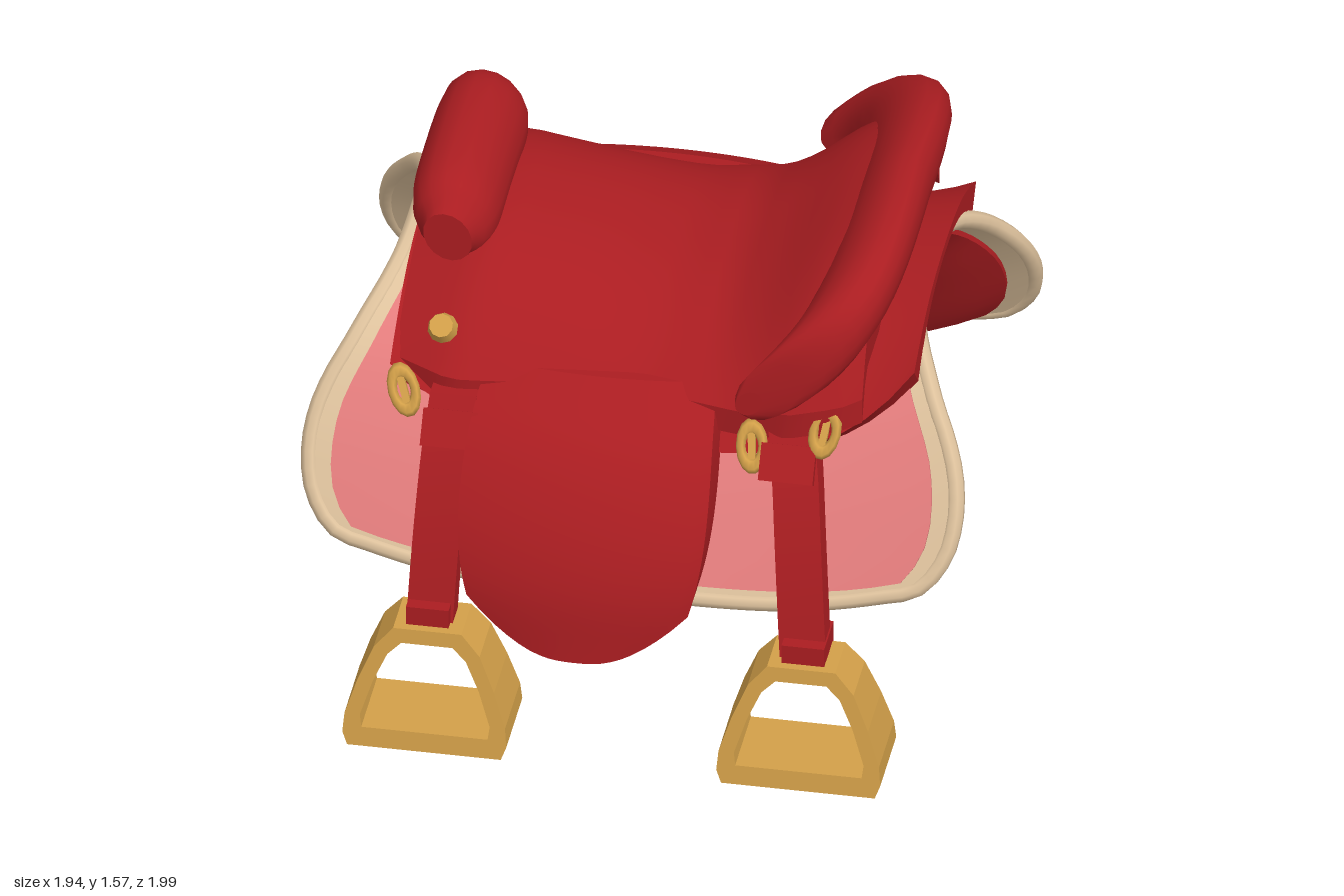
import * as THREE from 'three';

const mat = (name, color) => {
  const m = new THREE.MeshStandardMaterial({ color });
  m.name = name;
  return m;
};
const V = (x, y, z) => new THREE.Vector3(x, y, z);
const { smoothstep, clamp } = THREE.MathUtils;

// Moves every vertex of a geometry by a rule
function warp(geo, rule) {
  const p = geo.attributes.position;
  for (let i = 0; i < p.count; i++) {
    const q = rule(p.getX(i), p.getY(i), p.getZ(i));
    p.setXYZ(i, q.x, q.y, q.z);
  }
  geo.computeVertexNormals();
  return geo;
}

// Linear lookup in [key, value] pairs
function lookup(table, k) {
  if (k <= table[0][0]) return table[0][1];
  for (let i = 1; i < table.length; i++) {
    const [k0, a] = table[i - 1], [k1, b] = table[i];
    if (k <= k1) return a + (b - a) * (k - k0) / (k1 - k0);
  }
  return table[table.length - 1][1];
}

// Half arch of the blanket: z, y, half length in x
const half = [[0.25, 1.17, 0.76], [0.45, 1.04, 0.84], [0.6, 0.84, 0.935], [0.7, 0.66, 0.925], [0.78, 0.5, 0.76]];
const arch = new THREE.CatmullRomCurve3([
  ...half.map(([z, y, e]) => V(-z, y, e)).reverse(),
  V(0, 1.21, 0.74),
  ...half.map(([z, y, e]) => V(z, y, e)),
]);

// Point on the arch at across-position v (-1..1), pushed out by off
function onArch(v, off, xOf) {
  const a = clamp((v + 1) / 2, 0, 1);
  const p = arch.getPointAt(a), t = arch.getTangentAt(a);
  const l = Math.hypot(t.x, t.y);
  const x = xOf(p.z);
  const sag = (0.13 * x * x - 0.04) * (1 - v * v);
  return V(x, p.y + (t.x / l) * off + sag, p.x - (t.y / l) * off);
}
const onBlanket = (u, v, off) =>
  onArch(v * (1 - 0.1 * u ** 4), off, (e) => -0.01 + u * e);

export function createModel() {
  const red = mat('red leather', 0xab1d21);
  const pink = mat('pink felt', 0xe47d7d);
  const beige = mat('beige trim', 0xdec29d);
  const gold = mat('gold metal', 0xd3a049);

  const model = new THREE.Group();
  model.name = 'saddle';
  const add = (parent, name, geo, m) => {
    const mesh = new THREE.Mesh(geo, m);
    mesh.name = name;
    parent.add(mesh);
    return mesh;
  };
  const slab = (nu, nv) => new THREE.BoxGeometry(2, 1, 2, nu, 1, nv);

  // Blanket: trim slab with a rounded edge bead, felt on top, padded lining underneath
  add(model, 'blanketTrim', warp(slab(24, 36), (x, y, z) => onBlanket(x, z, y < 0 ? -0.04 : 0)), beige);
  const edge = [];
  for (let i = 0; i < 20; i++) edge.push([-1 + i / 10, 1]);
  for (let i = 0; i < 20; i++) edge.push([1, 1 - i / 10]);
  const rim = [...edge, ...edge.map(([u, v]) => [-u, -v])].map(([u, v]) => onBlanket(u, v, -0.018));
  add(model, 'blanketBead', new THREE.TubeGeometry(new THREE.CatmullRomCurve3(rim, true), 160, 0.027, 8, true), beige);
  add(model, 'blanketFelt', warp(slab(24, 36), (x, y, z) => onBlanket(x * 0.93, z * 0.955, y < 0 ? 0 : 0.009)), pink);
  add(model, 'blanketLining', warp(slab(24, 36), (x, y, z) => {
    const pad = 0.055 + 0.09 * (1 - x ** 4);
    const p = onBlanket(x * 0.92, z * 0.955, y < 0 ? -pad : -0.035);
    // the rear lining hangs lower towards the pommel end
    if (z < -0.6) p.y -= 0.11 * ((-z - 0.6) / 0.4) * smoothstep(0.35 - x, 0, 0.7);
    return p;
  }), red);

  // Skirt between blanket and seat
  add(model, 'skirt', warp(slab(24, 28), (x, y, z) => {
    const reach = 0.58 - (x > 0 ? 0.19 : 0.1) * x ** 4;
    return onArch(z * reach, y < 0 ? 0.005 : 0.035 + 0.065 * z * z, () => 0.03 + x * 0.76);
  }), red);

  // Seat: dips in the middle and rises into the bowl of the cantle
  const ridge = [[-0.72, 1.29], [-0.5, 1.36], [-0.3, 1.32], [-0.1, 1.27], [0.05, 1.25], [0.22, 1.27],
    [0.35, 1.34], [0.5, 1.45], [0.66, 1.53]];
  const width = [[-0.72, 0.55], [-0.55, 0.63], [-0.3, 0.6], [0, 0.58], [0.25, 0.63], [0.45, 0.68], [0.6, 0.66], [0.66, 0.62]];
  add(model, 'seat', warp(slab(28, 28), (x, y, z) => {
    const px = -0.03 + x * 0.69;
    const h = lookup(ridge, px);
    const low = 1.07 + 0.2 * Math.max(0, px - 0.3) + 0.05 * Math.max(0, -px - 0.5);
    const top = h - (h - low) * Math.abs(z) ** (2.4 + 1.6 * smoothstep(px, 0.2, 0.6));
    return V(px, y < 0 ? Math.min(top - 0.06, 1.22) - 0.02 : top, z * lookup(width, px));
  }), red);

  // Padded roll running across z, with its centre, section radii and lean given along it
  const roll = (name, at) => add(model, name,
    warp(new THREE.CylinderGeometry(1, 1, 2, 16, 28), (x, y, z) => {
      const { c, rx, ry, lean } = at(y);
      const dx = x * rx, dy = -z * ry;
      return V(c.x + dx * Math.cos(lean) + dy * Math.sin(lean), c.y - dx * Math.sin(lean) + dy * Math.cos(lean), c.z);
    }), red);
  roll('cantle', (y) => {
    const t = Math.abs(y);
    const s = Math.sqrt(1 - t ** 8);
    return {
      c: V(0.63 - 0.29 * t ** 3, 1.415 - 0.28 * t ** 2.4, 0.69 * Math.sin(y * Math.PI / 2)),
      rx: 0.035 + 0.065 * s, ry: 0.045 + 0.135 * s * (1 - 0.2 * t), lean: 0.45 + 0.3 * t,
    };
  });
  roll('pommel', (y) => {
    const s = Math.sqrt(Math.max(0.3, 1 - Math.abs(y) ** 6));
    return { c: V(-0.605, 1.395 - 0.03 * y * y, -0.03 + y * 0.37), rx: 0.125 * s, ry: 0.15 * s, lean: -0.5 };
  });

  // Side pieces: the far side is the near side turned about y, with x swapped
  const flapPath = new THREE.CatmullRomCurve3([
    V(0, 1.1, 0.57), V(0, 0.98, 0.76), V(0, 0.8, 0.89), V(0, 0.6, 0.965), V(0, 0.38, 0.985)]);
  const strapPath = new THREE.CatmullRomCurve3([
    V(0, 1.04, 0.62), V(0, 0.9, 0.7), V(0, 0.65, 0.79), V(0, 0.34, 0.86)]);

  for (const s of [1, -1]) {
    const side = new THREE.Group();
    side.name = s > 0 ? 'nearSide' : 'farSide';
    side.rotation.y = s > 0 ? 0 : Math.PI;
    model.add(side);

    // Flap with a rounded lower edge, padded on the inside
    add(side, 'flap', warp(new THREE.BoxGeometry(2, 1, 2, 20, 20, 1), (x, y, z) => {
      const t = (0.5 - y) * (1 - 0.19 * Math.abs(x) ** 3);
      const p = flapPath.getPoint(t);
      const w = 0.335 + 0.03 * Math.sin(t * Math.PI) - 0.08 * t ** 5;
      return V(s * -0.115 + x * w, p.y, p.z - 0.035 * x * x + (z < 0 ? -0.15 : 0.01));
    }), red);

    for (const [x0, x1] of [[-0.53, -0.56], [0.46, 0.54]]) {
      // Strap, longer where it carries a stirrup
      const end = s > 0 ? 1 : 0.86;
      add(side, 'strap', warp(new THREE.BoxGeometry(2, 1, 1, 1, 10, 1), (x, y, z) => {
        const t = (0.5 - y) * end, p = strapPath.getPoint(t);
        return V(s * (x0 + (x1 - x0) * t) + x * 0.068, p.y, p.z + z * 0.08);
      }), red);
      const keeper = add(side, 'strapKeeper', new THREE.BoxGeometry(0.16, 0.11, 0.1), red);
      keeper.position.set(s * x0, 0.94, 0.69);
      keeper.rotation.x = -0.6;
      const e = strapPath.getPoint(end);
      const loop = add(side, 'strapLoop', new THREE.BoxGeometry(0.125, 0.12, 0.15), red);
      loop.position.set(s * (x0 + (x1 - x0) * end), e.y + 0.06, e.z - 0.02);
    }

    // Gold buckles with a centre bar, and a stud
    for (const [x, y, z, tilt] of [[-0.68, 1.02, 0.63, 0.35], [0.35, 0.99, 0.69, 0.1], [0.56, 1.05, 0.67, -0.15]]) {
      const buckle = new THREE.Group();
      buckle.name = 'buckle';
      add(buckle, 'ring', new THREE.TorusGeometry(0.044, 0.019, 6, 14), gold);
      add(buckle, 'bar', new THREE.BoxGeometry(0.028, 0.09, 0.02), gold);
      buckle.scale.set(0.75, 1.3, 1);
      buckle.position.set(s * x, y, z);
      buckle.rotation.set(-0.5, 0, s * tilt);
      side.add(buckle);
    }
    const stud = add(side, 'stud', new THREE.CylinderGeometry(0.035, 0.045, 0.04, 10), gold);
    stud.position.set(s * -0.585, 1.19, 0.54);
    stud.rotation.x = 0.8;
  }

  // Stirrups hang on the near side only
  const outline = [[-0.225, 0], [0.225, 0], [0.24, 0.04], [0.235, 0.1], [0.2, 0.21], [0.155, 0.32], [0.1, 0.385]];
  const opening = [[-0.185, 0.06], [0.185, 0.06], [0.19, 0.1], [0.155, 0.21], [0.115, 0.3], [0.075, 0.34]];
  // Closes a right-hand outline by mirroring all but its first two points
  const ring = (list) => [...list, ...list.slice(2).reverse().map(([x, y]) => [-x, y])]
    .map(([x, y]) => new THREE.Vector2(x, y));
  for (const x of [-0.555, 0.54]) {
    const shape = new THREE.Shape(ring(outline));
    shape.holes.push(new THREE.Path(ring(opening)));
    const geo = warp(new THREE.ExtrudeGeometry(shape, { depth: 1, bevelEnabled: false }),
      (px, y, z) => V(px, y, (z - 0.5) * (0.27 - 0.28 * y)));
    add(model, 'stirrup', geo, gold).position.set(x, 0.015, 0.86);
  }
  return model;
}
